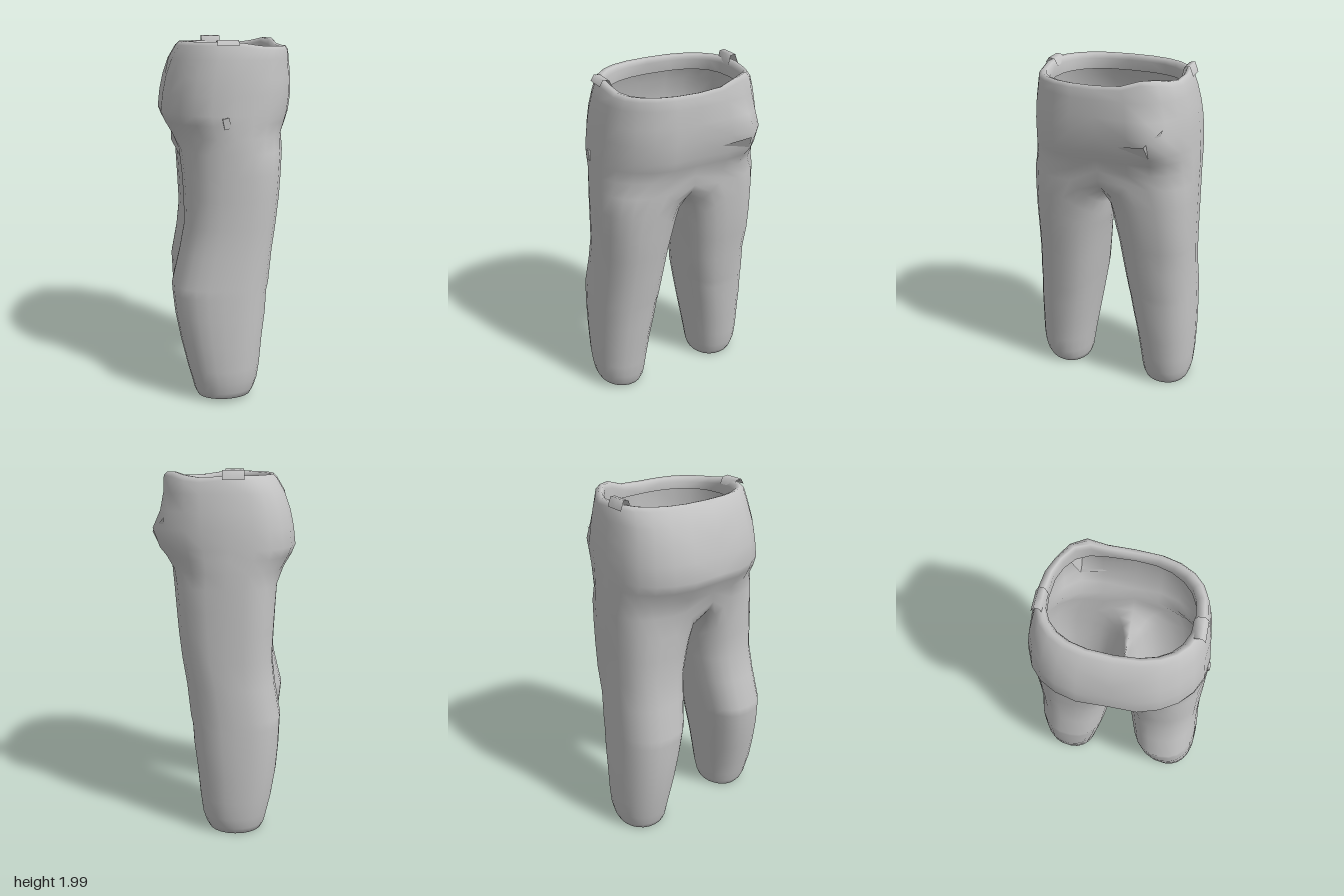
import * as THREE from 'three';
import { mergeGeometries, mergeVertices } from 'three/addons/utils/BufferGeometryUtils.js';

const K = 12; // segments along half a ring
const spow = (v, n) => Math.sign(v) * Math.pow(Math.abs(v), 2 / n);
const bump = (v, c, w) => Math.exp(-(((v - c) / w) ** 2));

// Waist and hips, from inside the rolled rim downwards: y, xMin, xMax, zFront, zBack, squareness
const hipRows = [
  [1.88, -0.245, 0.295, 0.34, 0.37, 2.5],
  [1.94, -0.235, 0.290, 0.335, 0.37, 2.5],
  [1.965, -0.245, 0.302, 0.352, 0.382, 2.5],
  [1.97, -0.262, 0.318, 0.375, 0.40, 2.5],
  [1.95, -0.283, 0.330, 0.395, 0.42, 2.5],
  [1.88, -0.325, 0.338, 0.413, 0.435, 2.5],
  [1.79, -0.358, 0.347, 0.43, 0.455, 2.5],
  [1.70, -0.378, 0.350, 0.44, 0.468, 2.5],
  [1.60, -0.390, 0.338, 0.45, 0.475, 2.45],
  [1.55, -0.370, 0.324, 0.455, 0.48, 2.4],
  [1.48, -0.328, 0.300, 0.458, 0.485, 2.35],
];

// Legs: y, xMin, xMax, zInner, zMiddle, zOuter, squareness, drop of the inner side
const legRows = [
  [1.40, -0.286, 0.281, 0.007, 0.16, 0.472, 2.25, 0.19],
  [1.28, -0.276, 0.268, 0.015, 0.215, 0.472, 2.25, 0.14],
  [1.15, -0.270, 0.256, 0.025, 0.240, 0.472, 2.25, 0.07],
  [1.00, -0.270, 0.238, 0.042, 0.253, 0.472, 2.25, 0],
  [0.85, -0.300, 0.215, 0.062, 0.265, 0.476, 2.3, 0],
  [0.67, -0.345, 0.195, 0.090, 0.280, 0.488, 2.35, 0],
  [0.62, -0.342, 0.183, 0.098, 0.287, 0.490, 2.35, 0],
  [0.50, -0.330, 0.175, 0.117, 0.300, 0.495, 2.3, 0],
  [0.35, -0.302, 0.155, 0.140, 0.318, 0.499, 2.2, 0],
  [0.20, -0.268, 0.140, 0.163, 0.331, 0.499, 2.15, 0],
  [0.10, -0.243, 0.127, 0.176, 0.335, 0.494, 2.1, 0],
  [0.04, -0.228, 0.108, 0.185, 0.333, 0.482, 2.1, 0],
  [0.006, -0.212, 0.090, 0.196, 0.333, 0.468, 2.1, 0],
  [0.012, -0.197, 0.073, 0.208, 0.333, 0.453, 2.1, 0],
];

function hipPoint([y, x0, x1, zf, zb, n], a, s) {
  // The seat is squarer than the belly
  const m = y < 1.9 ? n + s * -0.2 : n;
  const c = Math.max(Math.cos(a), 0);
  let x = (x0 + x1) / 2 + ((x1 - x0) / 2) * spow(Math.sin(a), m);
  let z = s * (s > 0 ? zf : zb) * spow(c < 1e-9 ? 0 : c, m);
  let py = y;
  // Shallow hollow along the side seams between the two halves
  if (y < 1.8) x -= 0.014 * Math.sign(x) * bump(z, -0.02, 0.06);
  // Uneven waistline: low along one side, raised behind it
  if (y > 1.9) {
    const side = Math.min(1, Math.max(0, x / 0.15));
    py += side * (0.045 * bump(z, -0.27, 0.1) - 0.022);
  }
  // A fold bulging at the back of one hip
  const b = bump(z, -0.29, 0.1) * bump(x, 0.3, 0.1);
  const fold = b * bump(y, 1.68, 0.12);
  x += 0.07 * fold + 0.035 * b * bump(y, 1.93, 0.06);
  z -= 0.03 * fold;
  return [x, py, z];
}

function legPoint([y, x0, x1, zi, zm, zo, n, drop], a, s) {
  // The back leg has a flatter knee and a squarer thigh
  const left = x0 + (s < 0 ? 0.035 * bump(y, 0.65, 0.3) : 0);
  const c = Math.cos(a);
  const m = s < 0 && y > 0.9 && c > 0 ? n + 0.35 : n;
  const outer = zo - s * 0.012 * Math.min(1, y);
  const x = (left + x1) / 2 + ((x1 - left) / 2) * spow(Math.sin(a), m);
  const z = zm + (c > 0 ? outer - zm : zm - zi) * spow(c, m);
  // The front hem lifts towards its outer side
  const lift = s > 0 && y < 0.15 ? 0.13 * Math.max(0, z - 0.28) : 0;
  return [x, y + lift - drop * Math.max(0, -c), s * z];
}

// Skin neighbouring rings; the winding flips on the mirrored half
function skin(rings, closed, s) {
  const w = rings[0].length, index = [];
  for (let r = 0; r < rings.length - 1; r++) {
    for (let i = 0; i < (closed ? w : w - 1); i++) {
      const a = r * w + i, b = r * w + ((i + 1) % w), c = a + w, d = b + w;
      if (s > 0) index.push(a, c, b, b, c, d);
      else index.push(a, b, c, b, d, c);
    }
  }
  const g = new THREE.BufferGeometry();
  g.setAttribute('position', new THREE.Float32BufferAttribute(rings.flat(2), 3));
  g.setIndex(index);
  return g;
}

function trouserGeometry() {
  const parts = [];
  const angle = (i) => -Math.PI / 2 + (i * Math.PI) / K;
  for (const s of [1, -1]) {
    const hips = hipRows.map((row) =>
      Array.from({ length: K + 1 }, (_, i) => hipPoint(row, angle(i), s)));
    parts.push(skin(hips, false, s));
    // The top leg ring is the hip edge closed by the sagging crotch seam
    const last = hipRows[hipRows.length - 1];
    const seam = Array.from({ length: K - 1 }, (_, i) => {
      const a = angle(K + 1 + i);
      const x = (last[1] + last[2]) / 2 + ((last[2] - last[1]) / 2) * spow(Math.sin(a), last[5]);
      return [x, last[0] - 0.2 * Math.abs(Math.cos(a)), 0];
    });
    const legs = legRows.map((row) =>
      Array.from({ length: 2 * K }, (_, i) => legPoint(row, angle(i), s)));
    parts.push(skin([[...hips[hips.length - 1], ...seam], ...legs], true, s));
  }
  const g = mergeVertices(mergeGeometries(parts), 1e-4);
  g.computeVertexNormals();
  return g;
}

// A strip of cloth folded over the waistband, following the rim's profile
function tabGeometry(s, top) {
  const rows = hipRows.slice(1, 5).map(([y, , , zf, zb], i) => {
    const z = s > 0 ? zf : zb;
    const dy = i === 2 || i === 1 ? top - 1.97 : 0;
    const dz = i < 2 ? -0.006 : 0.005;
    return [-0.1, -0.045, 0.012].map((x) => [x, y + dy, s * (z + dz)]);
  });
  const g = skin(rows, false, s);
  g.computeVertexNormals();
  return g;
}

export function createModel() {
  const group = new THREE.Group();
  const cloth = new THREE.MeshStandardMaterial({ color: 0xc4c4c4, side: THREE.DoubleSide });
  cloth.name = 'grey cloth';
  const add = (name, geometry) => {
    const mesh = new THREE.Mesh(geometry, cloth);
    mesh.name = name;
    group.add(mesh);
    return mesh;
  };

  add('trousers', trouserGeometry());
  add('frontWaistTab', tabGeometry(1, 1.98));
  add('backWaistTab', tabGeometry(-1, 2.0));

  // Small fastening on the front seam
  const stud = add('frontStud', new THREE.BoxGeometry(0.035, 0.055, 0.012));
  stud.position.set(-0.06, 1.565, 0.452);
  stud.rotation.z = 0.2;

  // Loose triangular fold on the hip
  const fold = new THREE.BufferGeometry();
  fold.setAttribute('position', new THREE.Float32BufferAttribute([
    0.344, 1.65, -0.13, 0.335, 1.585, -0.30, 0.384, 1.68, -0.28,
    0.384, 1.68, -0.28, 0.335, 1.585, -0.30, 0.315, 1.76, -0.36,
  ], 3));
  fold.computeVertexNormals();
  add('hipFold', fold);
  return group;
}
